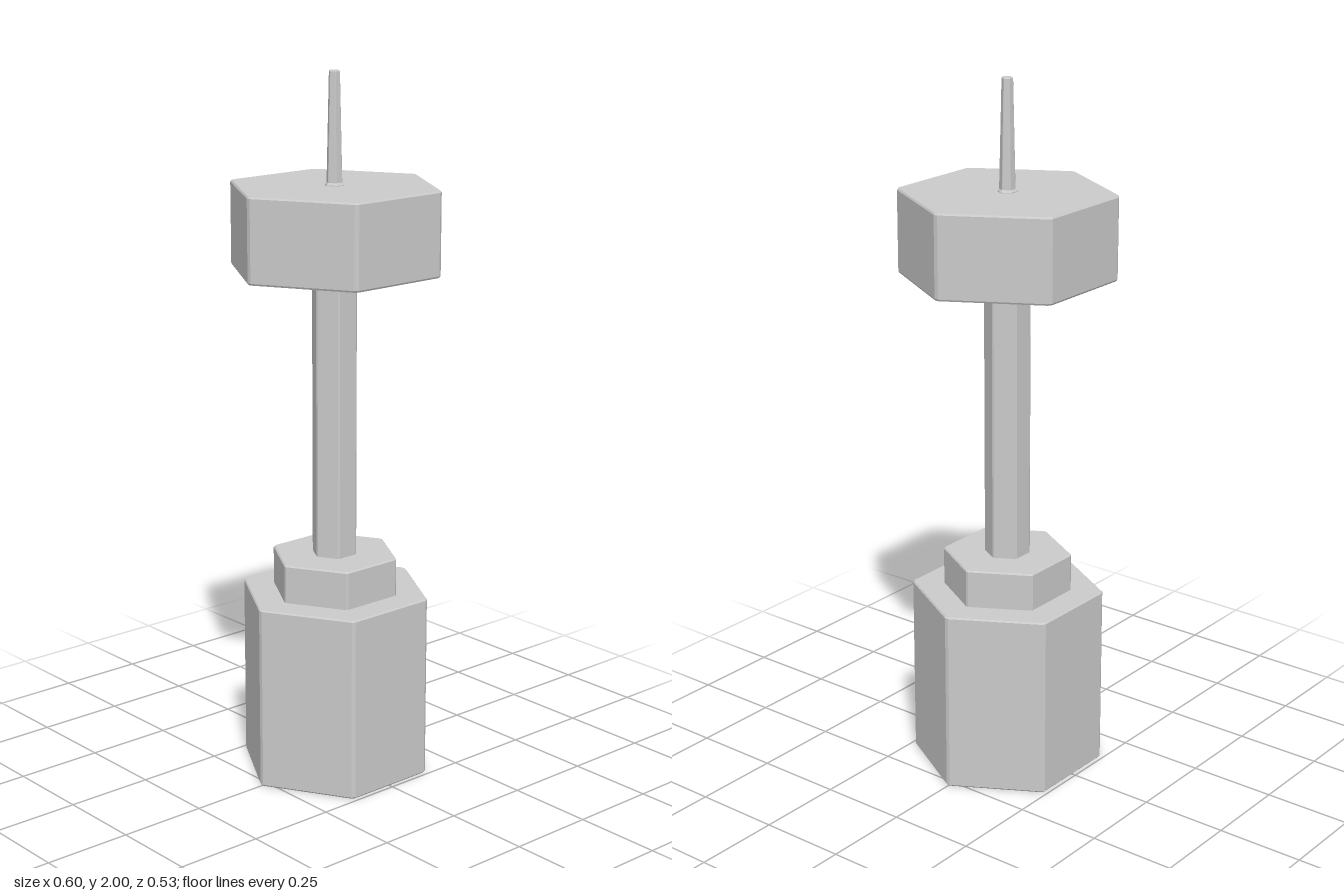
import * as THREE from 'three';

const material = new THREE.MeshStandardMaterial({ color: 0xcccccc, flatShading: true });

// Hexagonal turned part with slightly clipped corners, one corner on +x.
// The profile lists [radius, height] from bottom to top.
function hexPart(name, profile, clip = 0.02) {
  const points = profile.map(([r, y]) => new THREE.Vector2(r, y));
  const geometry = new THREE.LatheGeometry(points, 12);
  const position = geometry.attributes.position;
  const apothem = Math.cos(Math.PI / 6);
  const scale = apothem / Math.cos(Math.PI / 6 - clip);
  for (let k = 0; k < position.count; k++) {
    const step = Math.floor(k / points.length) % 12;
    const { x: radius, y } = points[k % points.length];
    // Pair the twelve columns around the six corners.
    const angle = Math.PI / 6 + Math.floor(step / 2) * Math.PI / 3 + (step % 2 ? clip : -clip);
    position.setXYZ(k, Math.sin(angle) * radius * scale, y, Math.cos(angle) * radius * scale);
  }
  const flat = geometry.toNonIndexed();
  flat.computeVertexNormals();
  const mesh = new THREE.Mesh(flat, material);
  mesh.name = name;
  return mesh;
}

// Solid prism profile with a small bevel at both rims.
function prism(radius, bottom, top, bevel = 0.004) {
  return [
    [0, bottom], [radius - bevel, bottom], [radius, bottom + bevel],
    [radius, top - bevel], [radius - bevel, top], [0, top],
  ];
}

export function createModel() {
  const group = new THREE.Group();
  group.name = 'hexagonalPost';

  group.add(
    hexPart('base', prism(0.277, 0, 0.53)),
    hexPart('collar', prism(0.185, 0.525, 0.64)),
    hexPart('shaft', prism(0.066, 0.635, 1.44, 0.002), 0.05),
    // Head with a shallow tapered underside
    hexPart('head', [
      [0, 1.422], [0.07, 1.422], [0.302, 1.453], [0.305, 1.458],
      [0.305, 1.685], [0.301, 1.69], [0, 1.69],
    ]),
    // Tapered spike with a small foot
    hexPart('spike', [
      [0, 1.685], [0.028, 1.685], [0.028, 1.692], [0.023, 1.698],
      [0.016, 1.997], [0.014, 2], [0, 2],
    ], 0.06),
  );
  return group;
}
